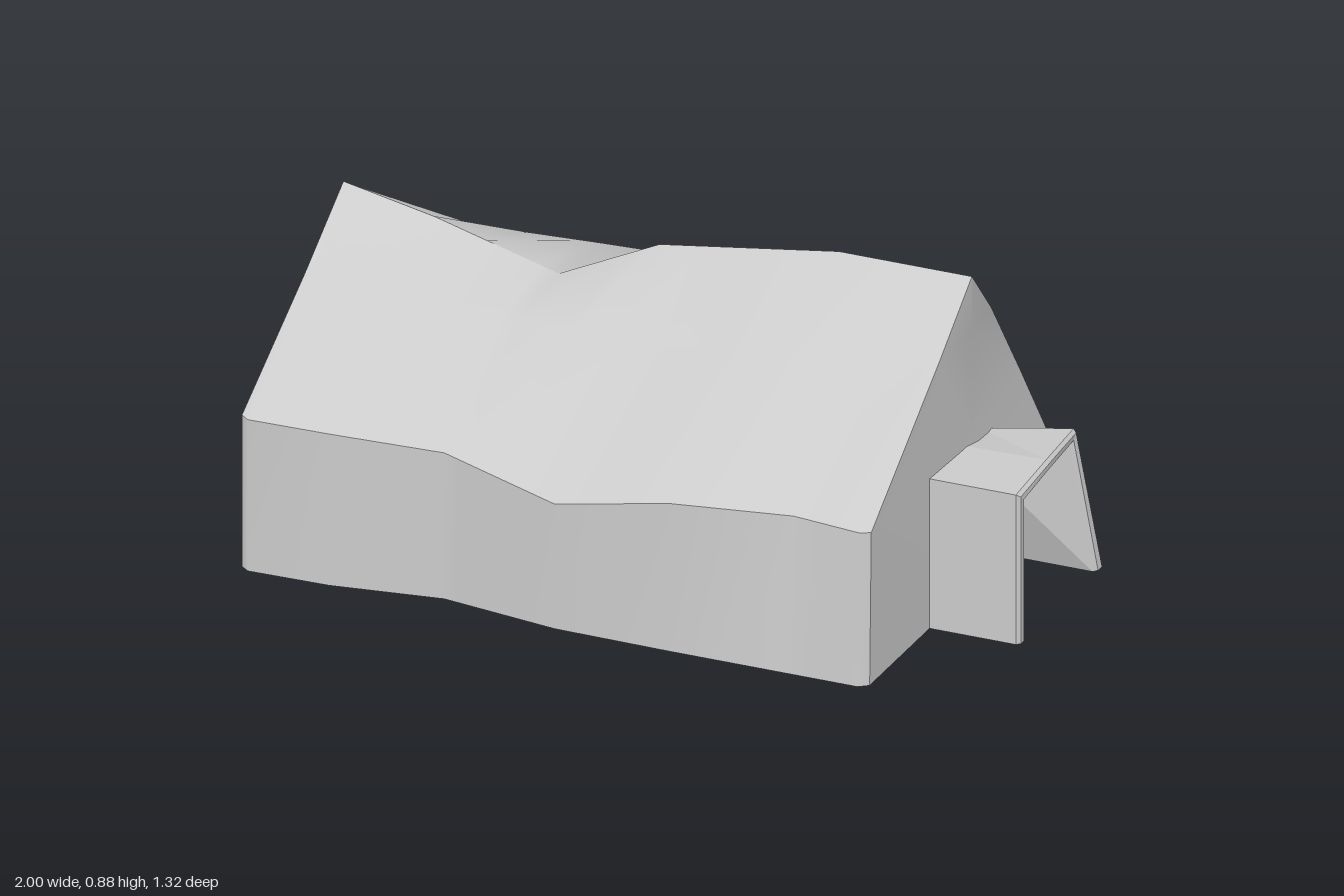
import * as THREE from 'three';

const material = new THREE.MeshStandardMaterial({ color: 0xcccccc, side: THREE.DoubleSide });

// Skin a list of point rows into one surface
function skin(name, rows, flat = false) {
  const n = rows[0].length, index = [];
  for (let r = 0; r < rows.length - 1; r++) {
    for (let c = 0; c < n - 1; c++) {
      const a = r * n + c, b = a + 1, d = a + n, e = d + 1;
      index.push(a, b, e, a, e, d);
    }
  }
  let geometry = new THREE.BufferGeometry();
  geometry.setAttribute('position', new THREE.Float32BufferAttribute(rows.flat(2), 3));
  geometry.setIndex(index);
  if (flat) geometry = geometry.toNonIndexed();
  geometry.computeVertexNormals();
  const mesh = new THREE.Mesh(geometry, material);
  mesh.name = name;
  return mesh;
}

// Stations along the tent, from the left end of x to the right
const stations = [-1, -0.975, -0.75, -0.6, -0.45, -0.4, -0.25, -0.12, 0, 0.2, 0.38, 0.53, 0.6, 0.725, 0.75];

// Sample a sagging line given as [x, y, z] keys; lean pulls its right end inward
function line(keys, lean = 0) {
  return stations.map((u) => {
    let k = 0;
    while (k < keys.length - 2 && u > keys[k + 1][0]) k++;
    const [a, b] = [keys[k], keys[k + 1]];
    const t = (u - a[0]) / (b[0] - a[0]);
    const x = u - lean * Math.max(0, (u - 0.5) / 0.25);
    return [x, a[1] + (b[1] - a[1]) * t, a[2] + (b[2] - a[2]) * t];
  });
}

function createBody() {
  const body = new THREE.Group();
  body.name = 'tentBody';

  const floorF = line([[-1, 0, 0.635], [-0.975, 0, 0.655], [-0.75, 0, 0.65], [-0.45, 0, 0.605],
    [-0.12, 0, 0.655], [0.2, 0, 0.66], [0.725, 0, 0.66], [0.75, 0, 0.64]]);
  const eaveF = line([[-1, 0.425, 0.635], [-0.975, 0.425, 0.655], [-0.75, 0.425, 0.65], [-0.45, 0.41, 0.605],
    [-0.12, 0.35, 0.655], [0.2, 0.415, 0.66], [0.53, 0.425, 0.62], [0.725, 0.425, 0.645], [0.75, 0.425, 0.63]]);
  const slopeF = line([[-1, 0.655, 0.24], [-0.75, 0.63, 0.25], [-0.4, 0.635, 0.25], [-0.12, 0.645, 0.25],
    [0.38, 0.69, 0.25], [0.75, 0.725, 0.2]]);
  const ridge = line([[-1, 0.81, 0], [-0.75, 0.76, 0], [-0.4, 0.665, 0], [-0.12, 0.8, 0],
    [0.38, 0.875, 0], [0.75, 0.875, 0]]);
  const slopeB = line([[-1, 0.66, -0.25], [-0.75, 0.63, -0.25], [-0.4, 0.645, -0.25], [-0.12, 0.655, -0.25],
    [0.38, 0.72, -0.25], [0.75, 0.7, -0.19]], 0.03);
  const eaveB = line([[-1, 0.425, -0.61], [-0.975, 0.425, -0.63], [-0.75, 0.42, -0.575], [-0.4, 0.4, -0.66],
    [0, 0.31, -0.66], [0.38, 0.42, -0.66], [0.53, 0.37, -0.555], [0.725, 0.37, -0.54], [0.75, 0.365, -0.53]], 0.1);
  const floorB = line([[-1, 0, -0.61], [-0.975, 0, -0.63], [-0.75, 0, -0.575], [-0.4, 0, -0.66],
    [0.38, 0, -0.66], [0.6, 0, -0.63], [0.725, 0, -0.66], [0.75, 0, -0.64]]);

  body.add(
    skin('frontWall', [floorF, eaveF]),
    skin('frontRoof', [eaveF, slopeF, ridge]),
    skin('backRoof', [ridge, slopeB, eaveB]),
    skin('backWall', [eaveB, floorB]),
    skin('floor', [floorB, floorF]),
  );

  // Gable ends, each folded along an upright centre line
  for (const end of [0, stations.length - 1]) {
    const front = [floorF, eaveF, slopeF, ridge].map((row) => row[end]);
    const back = [floorB, eaveB, slopeB, ridge].map((row) => row[end]);
    const centre = front.map((p) => [stations[end], p[1], 0]);
    const rows = [front, centre, back];
    body.add(skin(end ? 'doorGable' : 'plainGable', end ? rows.reverse() : rows));
  }
  return body;
}

function createPorch() {
  const porch = new THREE.Group();
  porch.name = 'entrancePorch';

  // Crooked door arch, from one foot over the top to the other
  const outerMouth = [[1, 0, 0.265], [1, 0.42, 0.265], [0.98, 0.415, 0.03], [0.95, 0.395, -0.21], [1, 0, -0.265]];
  const innerMouth = [[1, 0, 0.225], [1, 0.39, 0.225], [0.98, 0.385, 0.04], [0.95, 0.365, -0.18], [1, 0, -0.215]];
  const outerRoot = [[0.7, 0, 0.265], [0.7, 0.42, 0.265], [0.7, 0.41, 0.03], [0.7, 0.37, -0.165], [0.7, 0, -0.265]];
  const innerRoot = [[0.7, 0, 0.225], [0.7, 0.39, 0.225], [0.7, 0.365, 0.04], [0.7, 0.325, -0.1], [0.7, 0, -0.215]];

  // Small bevels on both edges of the mouth
  const setBack = (row) => row.map(([x, y, z]) => [x - 0.01, y, z]);
  const blend = (a, b, t) => a.map((p, i) => p.map((v, j) => v + (b[i][j] - v) * t));
  const shell = [innerRoot, setBack(innerMouth), blend(innerMouth, outerMouth, 0.25),
    blend(innerMouth, outerMouth, 0.75), setBack(outerMouth), outerRoot];
  porch.add(skin('porchShell', shell, true));

  // Undersides of the two side panels
  for (const i of [0, 4]) {
    const inner = [innerRoot[i], shell[1][i], shell[2][i]];
    const outer = [outerRoot[i], shell[4][i], shell[3][i]];
    porch.add(skin('porchFoot', i ? [outer, inner] : [inner, outer], true));
  }
  return porch;
}

export function createModel() {
  const model = new THREE.Group();
  model.name = 'tent';
  model.add(createBody(), createPorch());
  return model;
}
